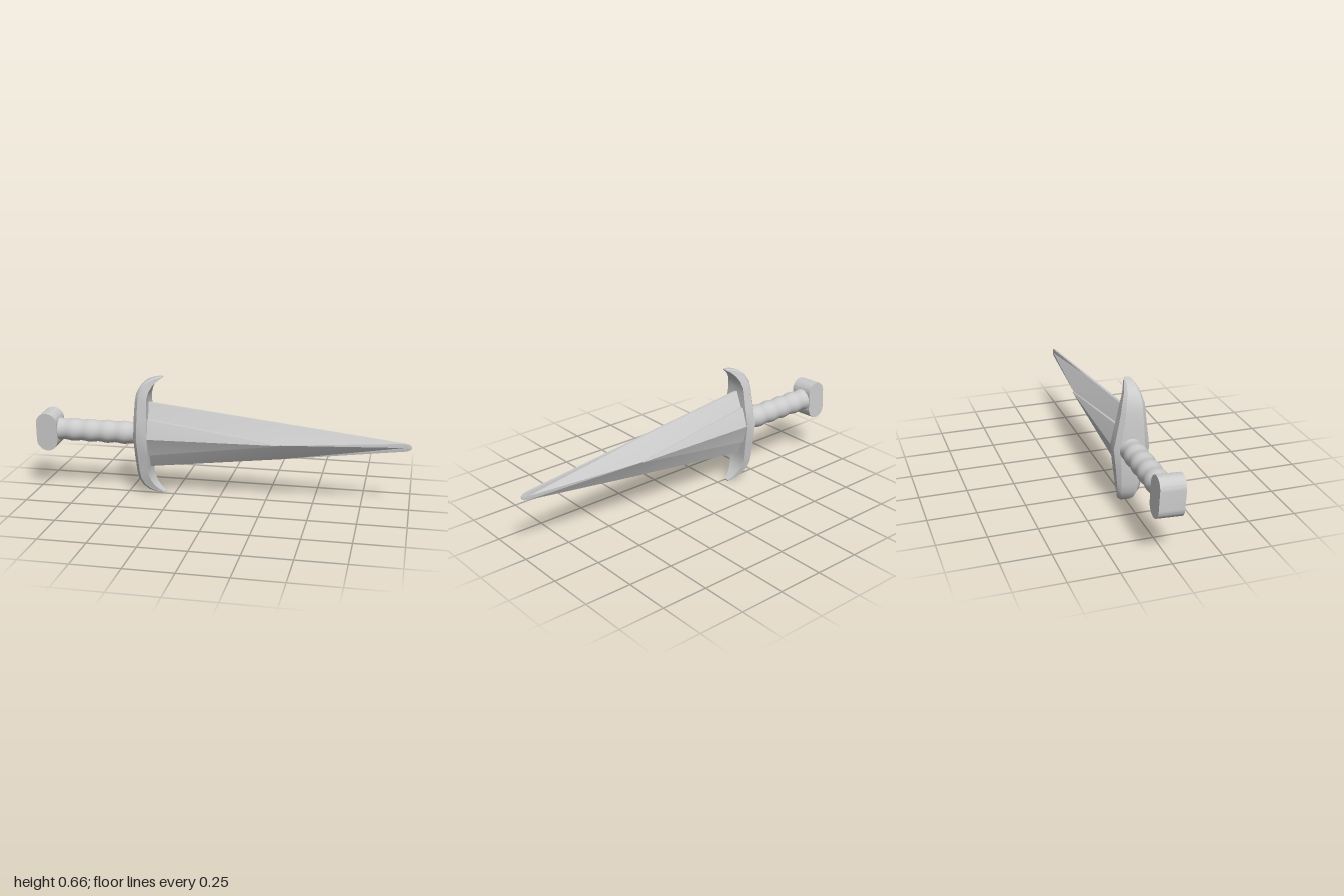
import * as THREE from 'three';
import { toCreasedNormals } from 'three/addons/utils/BufferGeometryUtils.js';

const material = new THREE.MeshStandardMaterial({ color: 0xcccccc });

// Skins a closed solid through rings of [x, y, z] points, with end caps
function loft(rings, crease) {
  const n = rings[0].length;
  const pts = rings.flat().map((p) => new THREE.Vector3(...p));
  const tris = [];
  for (let r = 0; r < rings.length - 1; r++) {
    for (let i = 0; i < n; i++) {
      const a = r * n + i, b = r * n + (i + 1) % n;
      tris.push([a, b, b + n], [a, b + n, a + n]);
    }
  }
  const last = (rings.length - 1) * n;
  for (let i = 1; i < n - 1; i++) {
    tris.push([0, i + 1, i], [last, last + i, last + i + 1]);
  }
  // Signed volume tells whether the faces point outward
  const cross = new THREE.Vector3();
  let volume = 0;
  for (const [a, b, c] of tris) volume += pts[a].dot(cross.crossVectors(pts[b], pts[c]));
  if (volume < 0) tris.forEach((t) => t.reverse());
  const geometry = new THREE.BufferGeometry().setFromPoints(tris.flat().map((i) => pts[i]));
  return toCreasedNormals(geometry, crease);
}

export function createModel() {
  const model = new THREE.Group();
  model.name = 'dagger';
  // The long axis lies along x; the whole weapon is rolled slightly about it
  const body = new THREE.Group();
  body.name = 'rolledBody';
  body.position.y = 0.328;
  body.rotation.x = 0.05;
  model.add(body);

  const add = (name, geometry) => {
    const mesh = new THREE.Mesh(geometry, material);
    mesh.name = name;
    body.add(mesh);
    return mesh;
  };

  // Blade: diamond section with narrow flat edges [x, centre y, half height, half thickness, edge]
  const blade = [
    [-0.39, 0.002, 0.182, 0.083, 0.008],
    [0.33, 0.005, 0.098, 0.068, 0.007],
    [0.965, 0.011, 0.021, 0.008, 0.005],
    [0.988, 0.011, 0.016, 0.006, 0.004],
    [1.0, 0.011, 0.006, 0.003, 0.002],
  ].map(([x, y, h, t, e]) => [
    [x, y, t], [x, y + h, e], [x, y + h, -e], [x, y, -t], [x, y - h, -e], [x, y - h, e],
  ]);
  add('blade', loft(blade, 0.3));

  // Raised tapering ridge plate on each side of the blade
  for (const side of [1, -1]) {
    const ring = (x, y, h, crown, edge, back) => [
      [x, y + h, edge * side], [x, y, crown * side], [x, y - h, edge * side],
      [x, y - h, back * side], [x, y + h, back * side],
    ];
    add(side > 0 ? 'frontRidge' : 'backRidge', loft([
      ring(-0.39, 0, 0.102, 0.089, 0.057, 0.03),
      ring(0.33, 0.005, 0.002, 0.075, 0.074, 0.055),
    ], 0.3));
  }

  // Guard: half profile [outer x, outer y, inner x, inner y, half width], mirrored downward
  const half = [
    [-0.455, 0, -0.375, 0, 0.093],
    [-0.451, 0.11, -0.376, 0.11, 0.075],
    [-0.445, 0.19, -0.379, 0.175, 0.064],
    [-0.437, 0.238, -0.378, 0.215, 0.058],
    [-0.415, 0.28, -0.367, 0.252, 0.046],
    [-0.385, 0.305, -0.351, 0.279, 0.036],
    [-0.35, 0.319, -0.332, 0.299, 0.027],
    [-0.32, 0.326, -0.314, 0.313, 0.021],
    [-0.302, 0.328, -0.3, 0.322, 0.013],
  ];
  const mirrored = half.slice(1).reverse().map(([ox, oy, ix, iy, w]) => [ox, -oy, ix, -iy, w]);
  const guard = [...mirrored, ...half].map(([ox, oy, ix, iy, w]) => {
    const at = (t, z) => [ix + (ox - ix) * t, iy + (oy - iy) * t, z];
    return [at(0, w), at(0.72, w), at(1, w * 0.7), at(1, -w * 0.7), at(0.72, -w), at(0, -w)];
  });
  add('guard', loft(guard, 0.5));

  // Grip: round handle with gentle finger swells
  const profile = [];
  for (let i = 0; i <= 48; i++) {
    const t = i / 48;
    profile.push(new THREE.Vector2(0.0595 + 0.0028 * Math.cos(t * Math.PI * 10), t * 0.47));
  }
  const grip = add('grip', new THREE.LatheGeometry(profile, 40));
  grip.rotation.z = -Math.PI / 2;
  grip.position.set(-0.9, 0, -0.008);

  // Pommel: capsule outline extruded across the handle
  const r = 0.0575, s = 0.047;
  const outline = new THREE.Shape();
  outline.absarc(0, s, r, 0, Math.PI);
  outline.absarc(0, -s, r, Math.PI, Math.PI * 2);
  outline.closePath();
  const pommel = add('pommel', toCreasedNormals(
    new THREE.ExtrudeGeometry(outline, { depth: 0.128, bevelEnabled: false, curveSegments: 20 }), 0.6));
  pommel.position.set(-0.9425, -0.003, -0.071);

  return model;
}
